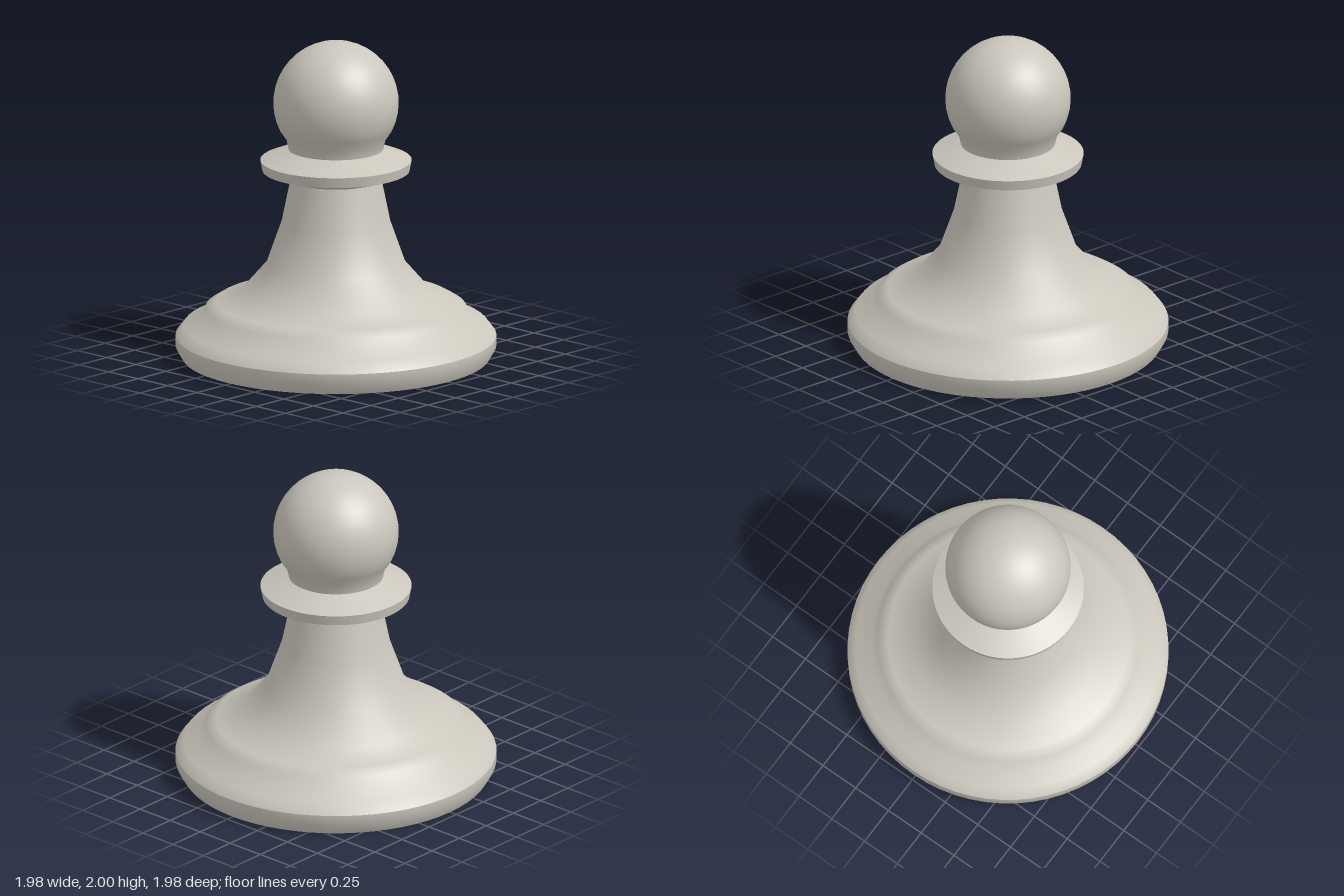
import * as THREE from 'three';

const SEGMENTS = 64;

export function createModel() {
  const model = new THREE.Group();
  model.name = 'pawn';
  const ivory = new THREE.MeshStandardMaterial({ color: 0xcbc7bd });
  ivory.name = 'warm grey';

  // Each part is a smooth turned band; the seams between bands stay sharp.
  const turn = (name, profile) => {
    const points = profile.map(([r, y]) => new THREE.Vector2(r, y));
    const mesh = new THREE.Mesh(new THREE.LatheGeometry(points, SEGMENTS), ivory);
    mesh.name = name;
    model.add(mesh);
  };

  // Foot
  turn('underside', [[0, 0], [0.95, 0]]);
  turn('baseRim', [[0.95, 0], [0.99, 0.07], [0.99, 0.135]]);

  // Stepped base flowing into the tapering stem
  turn('body', [
    [0.99, 0.135], [0.94, 0.2], [0.845, 0.24], [0.805, 0.31], [0.74, 0.35],
    [0.59, 0.405], [0.43, 0.59], [0.335, 0.86], [0.28, 1.13],
  ]);

  // Collar
  turn('collarUnderside', [[0.28, 1.13], [0.455, 1.185]]);
  turn('collarEdge', [[0.455, 1.185], [0.467, 1.25]]);
  turn('collarTop', [[0.467, 1.25], [0.293, 1.32]]);

  // Short neck and ball head
  const radius = 0.387, centre = 2 - radius, rings = 14, start = -0.46;
  const head = [[0.293, 1.32], [0.305, 1.38]];
  for (let i = 0; i <= rings; i++) {
    const a = start + (Math.PI / 2 - start) * i / rings;
    head.push([Math.max(0, radius * Math.cos(a)), centre + radius * Math.sin(a)]);
  }
  turn('head', head);

  return model;
}
